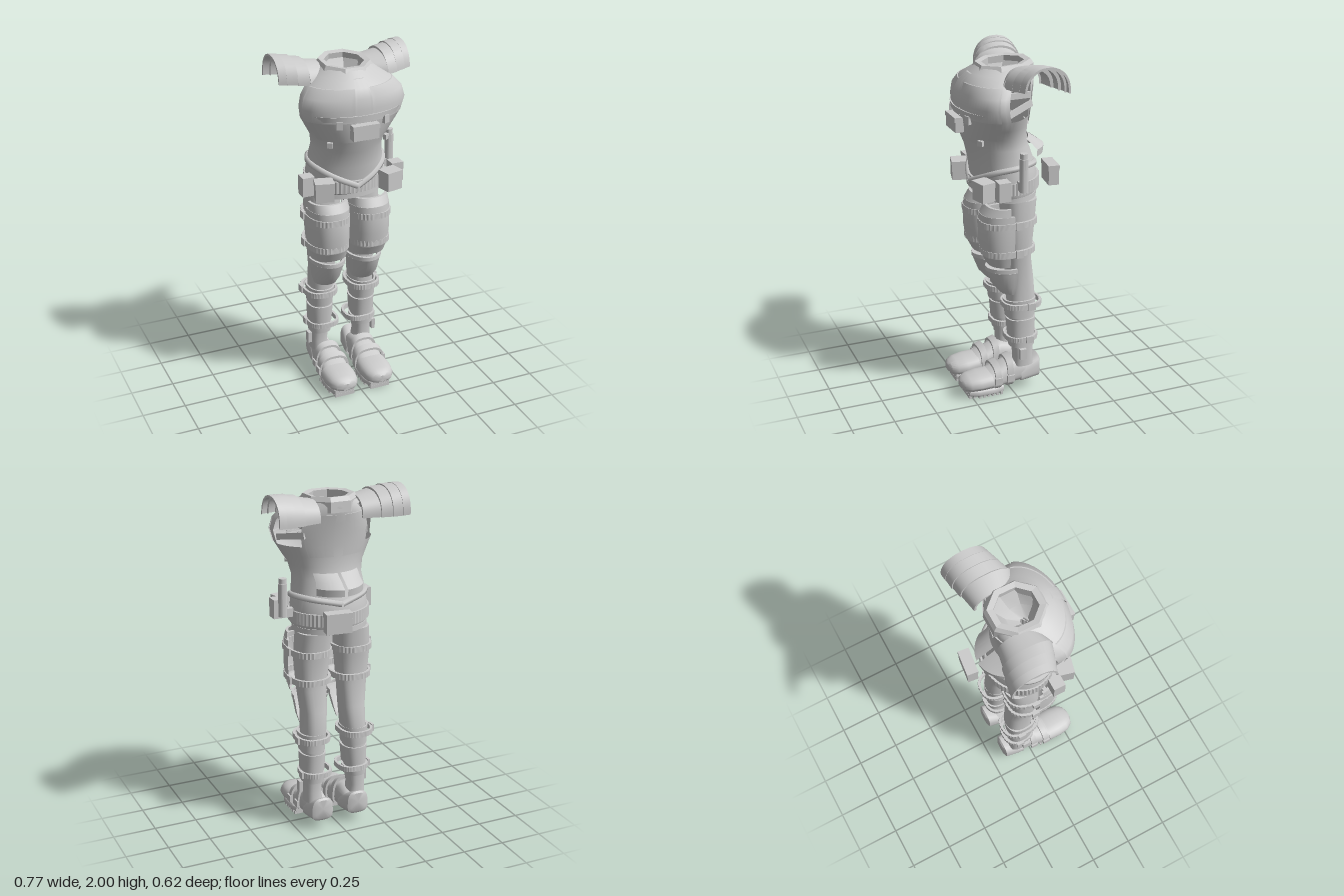
import * as THREE from 'three';
import { toCreasedNormals } from 'three/addons/utils/BufferGeometryUtils.js';

const armour = new THREE.MeshStandardMaterial({ color: 0xcccccc, side: THREE.DoubleSide });
armour.name = 'armour grey';
const rad = THREE.MathUtils.degToRad;

// Surface through oval sections [height, centreX, radiusX, centreZ, frontZ, backZ].
// Angle 0 faces the front and +90 degrees faces +x.
function shell(sections, { from = 0, to = 360, n = 40, square = 1, ridge = 0, cap = false, skip } = {}) {
  const pos = [], idx = [], row = n + 1;
  const bend = v => Math.sign(v) * Math.pow(Math.abs(v), square);
  for (const [y, cx, rx, zc, zf, zb] of sections) {
    for (let j = 0; j <= n; j++) {
      const a = rad(from + (to - from) * j / n), c = bend(Math.cos(a));
      const k = 1 + (j % 2 ? ridge : 0);
      pos.push(cx + rx * k * bend(Math.sin(a)), y, zc + k * c * (c > 0 ? zf - zc : zc - zb));
    }
  }
  for (let i = 0; i < sections.length - 1; i++) {
    for (let j = 0; j < n; j++) {
      const mid = from + (to - from) * (j + 0.5) / n;
      if (skip && skip((sections[i][0] + sections[i + 1][0]) / 2, mid)) continue;
      const a = i * row + j, b = a + 1, c = a + row, d = c + 1;
      idx.push(a, b, d, a, d, c);
    }
  }
  if (cap) {
    [0, sections.length - 1].forEach((s, e) => {
      const [y, cx, , , zf, zb] = sections[s], m = pos.length / 3;
      pos.push(cx, y, (zf + zb) / 2);
      for (let j = 0; j < n; j++) {
        const a = s * row + j;
        if (e) idx.push(m, a, a + 1); else idx.push(m, a + 1, a);
      }
    });
  }
  const g = new THREE.BufferGeometry();
  g.setAttribute('position', new THREE.Float32BufferAttribute(pos, 3));
  g.setIndex(idx);
  return toCreasedNormals(g, rad(35));
}

// Offsets a section inwards (negative) or outwards.
const grow = ([y, cx, rx, zc, zf, zb], d) => [y, cx, rx + d, zc, zf + d, zb - d];
// Plate with turned-in rims
const rimmed = (s, t = 0.015) => [grow(s[0], -t), ...s, grow(s[s.length - 1], -t)];
// Closed ring of height h
function band(y, h, sec, t = 0.015) {
  const lo = [y - h / 2, ...sec], hi = [y + h / 2, ...sec];
  return [grow(lo, -t), lo, hi, grow(hi, -t), grow(lo, -t)];
}

function add(parent, name, geo) {
  const m = new THREE.Mesh(geo, armour);
  m.name = name;
  parent.add(m);
  return m;
}
function box(parent, name, w, h, d, x, y, z, ry = 0, rx = 0) {
  const m = add(parent, name, new THREE.BoxGeometry(w, h, d));
  m.position.set(x, y, z);
  m.rotation.set(rx, ry, 0);
  return m;
}

function buildTorso(g) {
  const body = [
    [1.17, 0, .03, -.03, .0, -.06], [1.19, 0, .2, -.01, .1, -.16], [1.24, 0, .225, 0, .165, -.185],
    [1.32, 0, .225, 0, .18, -.19], [1.4, 0, .215, 0, .19, -.17], [1.5, 0, .2, .02, .215, -.135],
    [1.57, 0, .215, .04, .242, -.125], [1.63, 0, .25, .06, .255, -.125], [1.69, 0, .285, .08, .262, -.13],
    [1.76, 0, .3, .1, .264, -.14], [1.82, 0, .285, .09, .258, -.15], [1.87, 0, .24, .06, .235, -.16],
    [1.91, 0, .18, .02, .19, -.165], [1.94, 0, .14, 0, .15, -.16]];
  add(g, 'torso', shell(body, {
    n: 60, skip: (y, a) => { const s = a > 180 ? 360 - a : a; return y > 1.69 && y < 1.9 && s > 93 && s < 138; },
  }));
  // Sunken neck lining
  add(g, 'neckLining', shell([[1.72, 0, .02, .04, .07, .02], [1.8, 0, .07, .02, .11, -.06], [1.93, 0, .115, 0, .13, -.125]],
    { n: 8, from: 22.5, to: 382.5 }));
  // Paired chest plates, belly plates and shoulder-blade plates
  for (const s of [-1, 1]) {
    const arc = (a, b) => (s > 0 ? { from: a, to: b, n: 16 } : { from: -b, to: -a, n: 16 });
    add(g, 'chestPlate', shell(rimmed(body.slice(8, 12).map(p => grow(p, .006))), arc(10, 80)));
    add(g, 'ribPlate', shell(rimmed(body.slice(6, 9).map(p => grow(p, .005))), arc(8, 70)));
    add(g, 'backPlate', shell(rimmed(body.slice(7, 12).map(p => grow(p, .006))), arc(142, 174)));
    box(g, 'chestBuckle', .035, .045, .02, s * .135, 1.685, .25, s * .35);
    box(g, 'chestStrapEnd', .03, .03, .02, s * .165, 1.555, .19, s * .6);
    // Loose webbing across the arm openings
    for (const [y, tilt] of [[1.74, .2], [1.81, -.15], [1.87, .25]]) {
      box(g, 'armWebbing', .012, .035, .2, s * (.23 - (y - 1.74) * .4), y, -.01, s * .45, tilt);
    }
    // Flared lower-back flaps
    add(g, 'backFlap', shell([[1.43, 0, .185, 0, .1, -.235], [1.47, 0, .185, 0, .1, -.24],
      [1.5, 0, .175, 0, .1, -.2], [1.54, 0, .175, 0, .1, -.14]], arc(130, 177)));
    // Crossed hip belt
    const hip = new THREE.CatmullRomCurve3([
      new THREE.Vector3(0, 1.29, .19), new THREE.Vector3(s * .1, 1.335, .165), new THREE.Vector3(s * .185, 1.38, .1),
      new THREE.Vector3(s * .215, 1.4, 0), new THREE.Vector3(s * .155, 1.4, -.12), new THREE.Vector3(0, 1.37, -.18)]);
    add(g, 'crossBelt', new THREE.TubeGeometry(hip, 24, .018, 6));
    // Belt pouches
    box(g, 'frontPouch', .1, .1, .085, s * .2, 1.29, .185, s * .25);
    box(g, 'pouchLid', .106, .03, .09, s * .2, 1.335, .185, s * .25);
    box(g, 'sidePouch', .07, .11, .07, s * .268, 1.305, .1);
  }
  // Front placket and chest webbing
  add(g, 'frontPlacket', shell(rimmed(body.slice(8, 13).map(p => grow(p, .008))), { from: -9, to: 9, n: 8 }));
  add(g, 'chestStrap', shell(rimmed([[1.7, 0, .285, .08, .276, -.13], [1.73, 0, .295, .09, .277, -.135]]), { from: -65, to: 65 }));
  box(g, 'chestBox', .15, .08, .05, 0, 1.64, .275);
  box(g, 'chestBoxLid', .155, .025, .055, 0, 1.672, .277);
  box(g, 'backBox', .145, .11, .06, .065, 1.3, -.268, -.12);
  box(g, 'backBoxLid', .15, .03, .065, .065, 1.345, -.268, -.12);
  // Ribbed belt and pelvis rim
  add(g, 'belt', shell(band(1.285, .07, [0, .235, 0, .195, -.205], .02), { n: 120, ridge: -.02 }));
  add(g, 'pelvisRim', shell(band(1.215, .03, [0, .22, -.01, .15, -.185], .02)));
  // Eight-sided collar
  const collar = new THREE.LatheGeometry([[.155, -.05], [.155, .01], [.14, .035], [.108, .03], [.112, -.04], [.155, -.05]]
    .map(p => new THREE.Vector2(...p)), 8, Math.PI / 8).toNonIndexed();
  collar.computeVertexNormals();
  const ring = add(g, 'collar', collar);
  ring.position.set(0, 1.925, -.005);
  ring.rotation.x = .05;
  ring.scale.z = 1.1;
  // Canister hanging on the left hip
  add(g, 'canister', toCreasedNormals(new THREE.CylinderGeometry(.025, .025, .19, 16), .6)).position.set(.283, 1.385, -.015);
  add(g, 'canisterCap', toCreasedNormals(new THREE.CylinderGeometry(.021, .021, .03, 16), .6)).position.set(.283, 1.495, -.015);
  box(g, 'canisterClip', .05, .05, .03, .25, 1.31, -.015);
}

// Shoulder guard: arched bands laid along x
function buildShoulder(g) {
  const bands = [
    [[.125, 1.85, .1, .05, -.18], [.228, 1.852, .115, .085, -.2]],
    [[.225, 1.853, .125, .08, -.207], [.29, 1.854, .132, .06, -.218]],
    [[.287, 1.855, .137, .06, -.224], [.345, 1.857, .14, .04, -.23]],
    [[.342, 1.858, .141, .04, -.232], [.385, 1.86, .14, .025, -.237]]];
  for (const b of bands) {
    const s = b.map(([x, y, r, zf, zb]) => [x, -y, r, (zf + zb) / 2, zf, zb]);
    add(g, 'shoulderBand', shell(rimmed(s, .012), { from: -184, to: -4, n: 28, square: .9 }).rotateZ(-Math.PI / 2));
  }
}

function buildLeg(g) {
  add(g, 'legCore', shell([
    [.16, .135, .055, -.07, -.01, -.135], [.22, .14, .05, -.07, -.015, -.13], [.3, .135, .056, -.07, -.005, -.135],
    [.48, .132, .062, -.06, .005, -.14], [.6, .125, .07, -.06, .02, -.145], [.72, .12, .075, -.05, .02, -.135],
    [.85, .125, .085, -.04, .035, -.115], [1.03, .125, .1, -.04, .05, -.13], [1.2, .115, .1, -.05, .05, -.15]],
  { n: 28, square: .8, cap: true }));
  // Thigh plates in stacked bands
  const thigh = [[.82, .118, .103, .03, .135, -.06], [.88, .121, .114, .03, .165, -.07], [.97, .122, .119, .03, .18, -.07],
    [1.06, .122, .119, .03, .182, -.07], [1.13, .122, .118, .03, .175, -.07], [1.175, .122, .114, .03, .145, -.07]];
  add(g, 'lowerThighPlate', shell(rimmed(thigh.slice(0, 2)), { from: -88, to: 88, n: 24, square: .85 }));
  add(g, 'thighPlate', shell(rimmed(thigh.slice(1, 5).map(s => grow(s, .002))), { from: -95, to: 95, n: 24, square: .85 }));
  add(g, 'upperThighPlate', shell(rimmed(thigh.slice(4)), { from: -88, to: 88, n: 24, square: .85 }));
  // Knee guard
  add(g, 'kneePlate', shell(rimmed([[.63, .117, .068, -.01, .055, -.05], [.68, .117, .083, -.01, .1, -.05],
    [.76, .113, .1, -.01, .132, -.05], [.775, .112, .104, -.01, .138, -.05]]), { from: -90, to: 90, n: 24 }));
  add(g, 'kneeRim', shell(rimmed([[.777, .112, .106, -.01, .142, -.05], [.8, .112, .106, -.01, .142, -.05]]),
    { from: -90, to: 90, n: 24 }));
  // Shin bands
  for (const [y0, y1, r0, r1, f0, f1] of [[.48, .59, .072, .08, .03, .045], [.355, .465, .068, .074, .015, .025], [.285, .335, .064, .067, .008, .012]]) {
    add(g, 'shinBand', shell(rimmed([[y0, .134, r0, -.06, f0, -.142], [y1, .132, r1, -.06, f1, -.147]], .01), { n: 28, square: .85 }));
  }
  // Ridged straps with buckles
  const straps = [[1.075, .035, .125, .125, .02, .187, -.15], [.905, .035, .125, .122, .02, .175, -.14],
    [.56, .032, .135, .1, -.06, .055, -.18], [.34, .03, .117, .095, -.06, .03, -.165]];
  for (const [y, h, cx, rx, zc, zf, zb] of straps) {
    add(g, 'strap', shell(band(y, h, [cx, rx, zc, zf, zb], .014), { n: 72, ridge: -.025, square: .8 }));
    box(g, 'strapBuckle', .014, h + .01, .045, cx + rx, y, zc - .03);
  }
  box(g, 'ankleTag', .022, .065, .04, .205, .25, -.05);
  buildFoot(g);
}

// Foot: sections run along z as [z, halfWidth, bottomY, topY]
function buildFoot(g) {
  const f = ([z, w, b, t]) => [z, .113, w, -(b + (t - b) * .35), -b, -t];
  const along = (list, opts) => shell(list.map(f), opts).rotateX(Math.PI / 2);
  add(g, 'shoe', along([[-.165, .06, .07, .15], [-.1, .068, .06, .18], [-.02, .07, .05, .2], [.05, .078, .045, .175],
    [.12, .086, .04, .145], [.2, .086, .04, .12], [.27, .07, .04, .09]], { n: 28, square: .75, cap: true }));
  add(g, 'toeCap', along([[.13, .093, .05, .14], [.2, .096, .045, .137], [.26, .086, .045, .128],
    [.295, .062, .05, .115], [.308, .03, .06, .1]], { n: 28, square: .8, cap: true }));
  add(g, 'heelGuard', along([[-.178, .045, .075, .19], [-.168, .065, .06, .2], [-.08, .076, .055, .16], [-.05, .075, .055, .13]],
    { n: 28, square: .65, cap: true }));
  // Instep straps
  for (const [z, w, t] of [[.02, .083, .215], [.1, .094, .185]]) {
    add(g, 'instepStrap', along([[z - .018, w - .012, .05, t - .012], [z - .018, w, .035, t + .008],
      [z + .018, w, .035, t - .006], [z + .018, w - .012, .05, t - .02]], { n: 36, square: .75 }));
    box(g, 'instepBuckle', .015, .04, .045, .113 + w, .1, z);
  }
  // Ribbed sole
  add(g, 'sole', along([[.06, .07, .012, .06], [.12, .082, .01, .055], [.21, .082, .01, .055], [.27, .06, .012, .055]],
    { n: 28, square: .5, cap: true }));
  for (let i = 0; i < 8; i++) box(g, 'soleRib', i < 6 ? .15 : .12, .02, .014, .113, .01, .075 + i * .027);
}

export function createModel() {
  const model = new THREE.Group();
  model.name = 'armourSuit';
  const torso = new THREE.Group();
  torso.name = 'torsoArmour';
  buildTorso(torso);
  model.add(torso);
  for (const [side, s] of [['left', 1], ['right', -1]]) {
    for (const [part, build] of [['Shoulder', buildShoulder], ['Leg', buildLeg]]) {
      const g = new THREE.Group();
      g.name = side + part;
      build(g);
      g.scale.x = s;
      model.add(g);
    }
  }
  return model;
}
